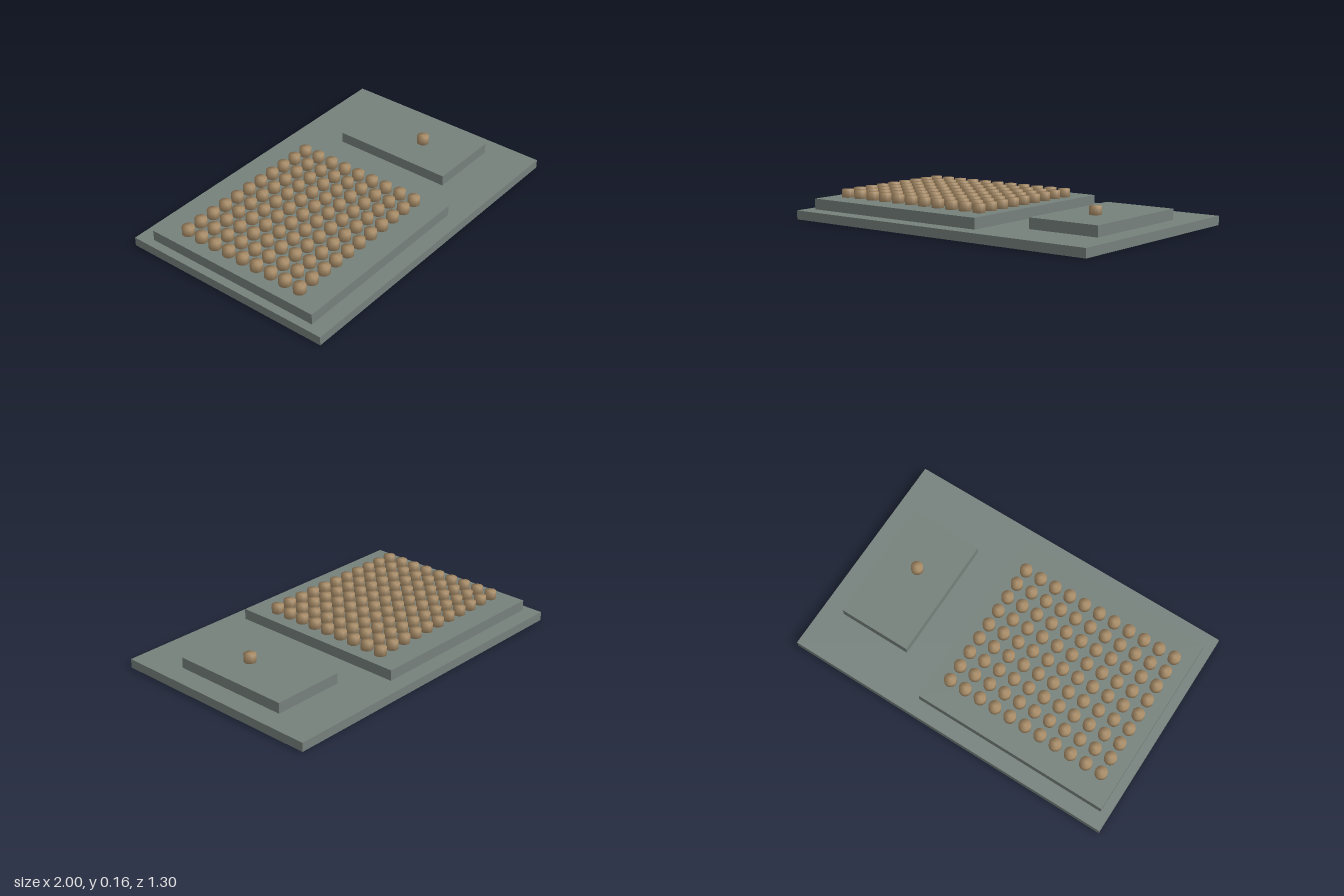
import * as THREE from 'three';
import { mergeVertices } from 'three/addons/utils/BufferGeometryUtils.js';

export function createModel() {
  const model = new THREE.Group();
  const stone = new THREE.MeshStandardMaterial({ color: 0x76817c });
  stone.name = 'greyGreenStone';
  const clay = new THREE.MeshStandardMaterial({ color: 0xaa8e69 });
  clay.name = 'tanClay';

  // Box slab given by its x range, y range and half depth
  function slab(name, x0, x1, y0, y1, halfZ) {
    const mesh = new THREE.Mesh(new THREE.BoxGeometry(x1 - x0, y1 - y0, halfZ * 2), stone);
    mesh.position.set((x0 + x1) / 2, (y0 + y1) / 2, 0);
    mesh.name = name;
    model.add(mesh);
  }
  const floor = 0.052, deck = 0.114, top = 0.16;
  slab('base', -1, 1, 0, floor, 0.65);
  slab('largePlatform', -0.95, 0.23, floor, deck, 0.555);
  slab('smallPlatform', 0.442, 0.876, floor, deck, 0.366);

  // Short peg with normals blended over its rims
  let pegGeometry = new THREE.CylinderGeometry(0.035, 0.035, top - deck, 16);
  pegGeometry.deleteAttribute('normal');
  pegGeometry.deleteAttribute('uv');
  pegGeometry = mergeVertices(pegGeometry);
  pegGeometry.computeVertexNormals();

  function peg(name, x, z, parent) {
    const mesh = new THREE.Mesh(pegGeometry, clay);
    mesh.position.set(x, (deck + top) / 2, z);
    mesh.name = name;
    parent.add(mesh);
  }

  // Ordered block of pegs on the large platform
  const pegs = new THREE.Group();
  pegs.name = 'pegGrid';
  const step = 0.0975;
  for (let i = 0; i < 11; i++) {
    for (let j = 0; j < 9; j++) peg('peg', -0.847 + i * step, (j - 4) * step, pegs);
  }
  model.add(pegs);

  // Lone peg on the small platform
  peg('lonePeg', 0.659, 0.068, model);
  return model;
}
